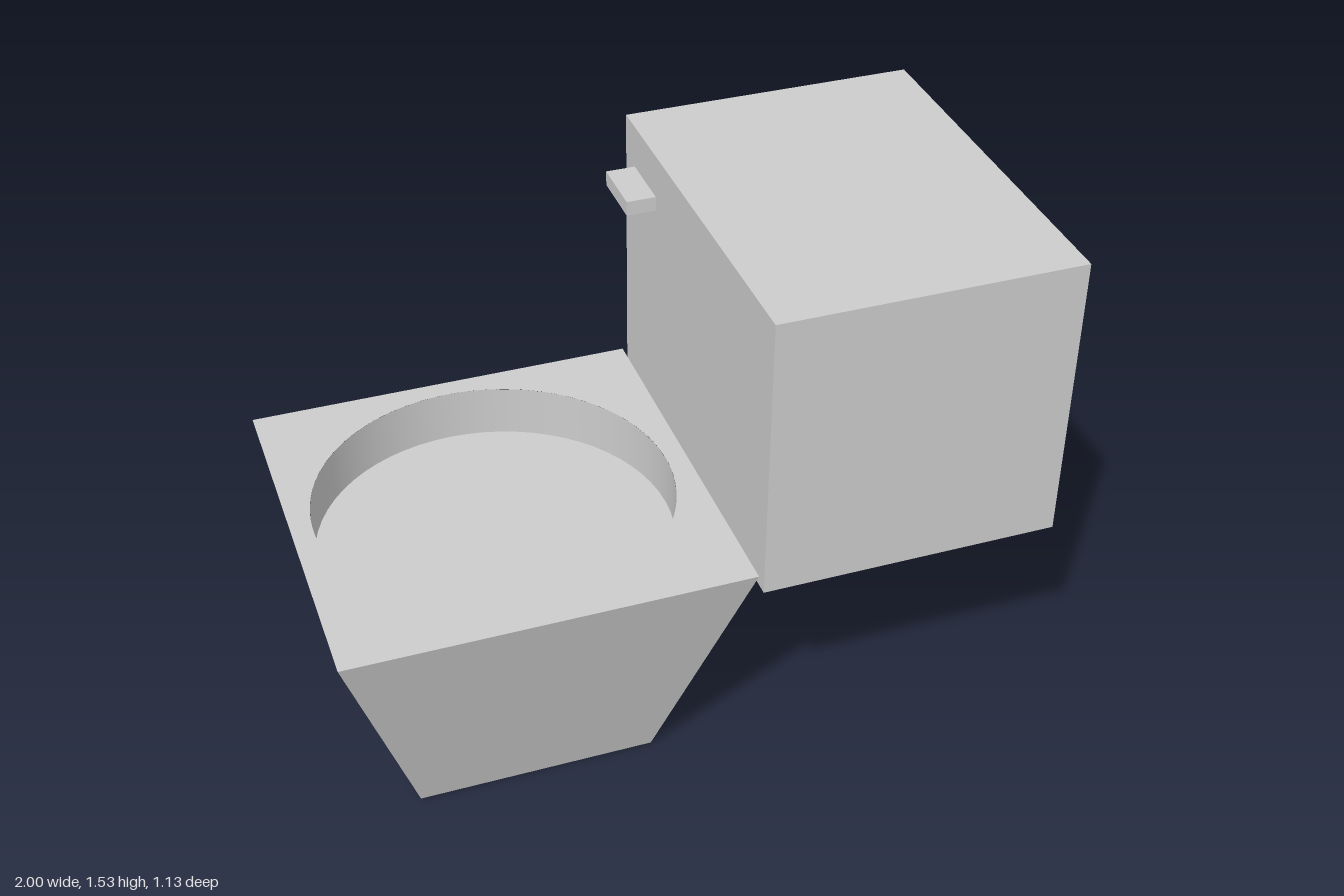
import * as THREE from 'three';

const material = new THREE.MeshStandardMaterial({ color: 0xcccccc });
const flat = new THREE.MeshStandardMaterial({ color: 0xcccccc, flatShading: true });
const inner = new THREE.MeshStandardMaterial({ color: 0xcccccc, side: THREE.BackSide });

function add(parent, name, geometry, mat, x, y, z) {
  const mesh = new THREE.Mesh(geometry, mat);
  mesh.name = name;
  mesh.position.set(x, y, z);
  parent.add(mesh);
  return mesh;
}

export function createModel() {
  const model = new THREE.Group();
  model.name = 'toilet';

  const top = 0.565, base = 0.342, height = 0.745; // bowl half widths and height
  const radius = 0.505, depth = 0.155, segments = 64; // round basin

  const bowl = new THREE.Group();
  bowl.name = 'bowl';
  bowl.position.x = -0.435;
  model.add(bowl);

  // Tapered four-sided body, open at the top
  const body = new THREE.CylinderGeometry(top * Math.SQRT2, base * Math.SQRT2, height, 4, 1, true);
  body.rotateY(Math.PI / 4);
  add(bowl, 'bowlBody', body, flat, 0, height / 2, 0);
  add(bowl, 'bowlBase', new THREE.PlaneGeometry(base * 2, base * 2).rotateX(Math.PI / 2), material, 0, 0, 0);

  // Square rim with a round opening
  const square = new THREE.Shape([
    new THREE.Vector2(-top, -top), new THREE.Vector2(top, -top),
    new THREE.Vector2(top, top), new THREE.Vector2(-top, top),
  ]);
  square.holes.push(new THREE.Path().absarc(0, 0, radius, 0, Math.PI * 2, true));
  const rim = new THREE.ShapeGeometry(square, segments).rotateX(-Math.PI / 2);
  add(bowl, 'rim', rim, material, 0, height, 0);

  // Basin wall and floor
  const wall = new THREE.CylinderGeometry(radius, radius, depth, segments, 1, true);
  add(bowl, 'basinWall', wall, inner, 0, height - depth / 2, 0);
  const floor = new THREE.CircleGeometry(radius, segments).rotateX(-Math.PI / 2);
  add(bowl, 'basinFloor', floor, material, 0, height - depth, 0);

  // Tank and flush handle
  add(model, 'tank', new THREE.BoxGeometry(0.855, 0.85, 1.13), material, 0.5725, 1.11, 0);
  add(model, 'flushHandle', new THREE.BoxGeometry(0.085, 0.043, 0.18), material, 0.1025, 1.388, -0.4);

  return model;
}
